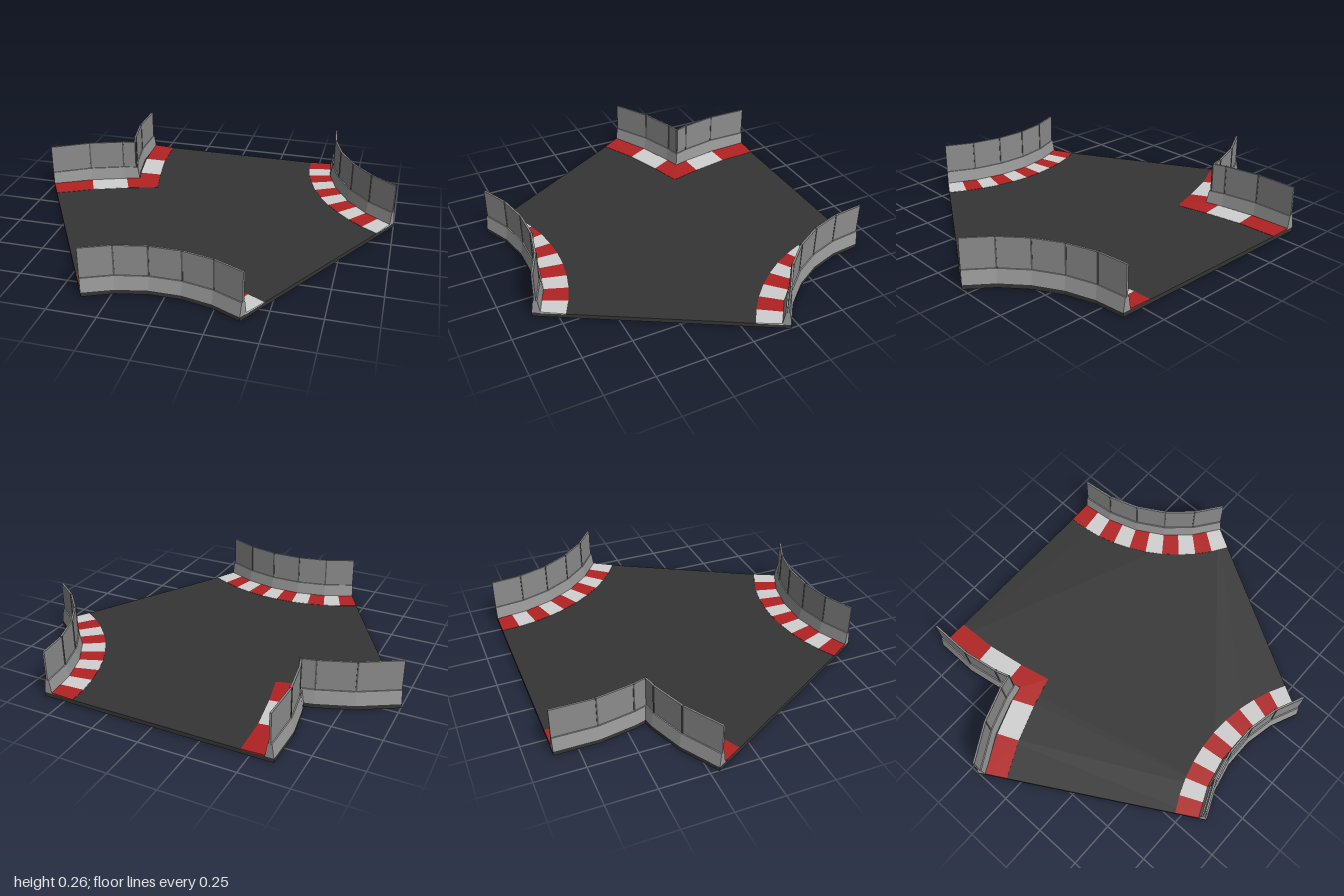
import * as THREE from 'three';

const mat = (name, color, opts = {}) => {
  const m = new THREE.MeshStandardMaterial({ color, ...opts });
  m.name = name;
  return m;
};

const VERTEX = 1.6;      // distance from the tile centre to each (cut off) triangle corner
const CENTRE_Z = -0.07;
const DECK = 0.022;      // road surface height
const RAD = Math.PI / 180;

// Flat-faced solid through matching convex rings, each counter-clockwise seen from the far end
function loft(rings) {
  const pos = [];
  const tri = (...pts) => pts.forEach(p => pos.push(...p));
  const n = rings[0].length;
  for (let i = 0; i + 1 < rings.length; i++) {
    for (let j = 0; j < n; j++) {
      const k = (j + 1) % n, a = rings[i], b = rings[i + 1];
      tri(a[j], a[k], b[k]);
      tri(a[j], b[k], b[j]);
    }
  }
  const first = rings[0], last = rings[rings.length - 1];
  for (let j = 1; j + 1 < n; j++) {
    tri(first[0], first[j + 1], first[j]);
    tri(last[0], last[j], last[j + 1]);
  }
  const g = new THREE.BufferGeometry();
  g.setAttribute('position', new THREE.Float32BufferAttribute(pos, 3));
  g.computeVertexNormals();
  return g;
}

// Mitred sideways directions towards the road; the ends follow the tile's edges
function mitres(path) {
  const normal = i => {
    const dx = path[i + 1][0] - path[i][0], dz = path[i + 1][1] - path[i][1];
    const l = Math.hypot(dx, dz);
    return [dz / l, -dx / l];
  };
  return path.map((p, i) => {
    const last = path.length - 1;
    let dir, n;
    if (i === 0 || i === last) {
      n = normal(i === 0 ? 0 : last - 1);
      dir = [i === 0 ? -0.5 : 0.5, -Math.sqrt(3) / 2];
    } else {
      n = normal(i);
      const m = normal(i - 1);
      const l = Math.hypot(n[0] + m[0], n[1] + m[1]);
      dir = [(n[0] + m[0]) / l, (n[1] + m[1]) / l];
    }
    const k = 1 / (dir[0] * n[0] + dir[1] * n[1]);
    return [dir[0] * k, dir[1] * k];
  });
}

const sweep = (path, profile) => {
  const m = mitres(path);
  return loft(path.map((p, i) => profile.map(([s, y]) => [p[0] + m[i][0] * s, y, p[1] + m[i][1] * s])));
};

const arc = (r, steps) => Array.from({ length: steps + 1 }, (_, i) => {
  const a = (-30 + 60 * i / steps) * RAD;
  return [r * Math.sin(a), VERTEX - r * Math.cos(a)];
});

// Half a path from the middle outwards, mirrored into a whole one
const mirrored = half => [...half.slice(1).reverse().map(([x, z]) => [-x, z]), ...half];

export function createModel() {
  const model = new THREE.Group();
  model.name = 'trackJunction';

  const asphalt = mat('asphalt', 0x353535);
  const red = mat('kerbRed', 0xb22222);
  const white = mat('kerbWhite', 0xd0d0d0);
  const concrete = mat('concrete', 0x999999);
  const panel = mat('fencePanel', 0x8c8c8c);
  const steel = mat('fencePost', 0x5c5c5c);

  // Each corner: barrier line, kerb edges and stripe order, seen with the corner towards +z
  const round = { wall: arc(0.79, 5), outer: arc(0.805, 10), inner: arc(0.935, 10) };
  const corners = [
    { name: 'front', angle: 0, ...round, stripes: 'RWRWRWRWRW' },
    { name: 'left', angle: 120, ...round, stripes: 'WRWRWRWRWR' },
    {
      name: 'right', angle: 240, stripes: 'RWRRWR',
      wall: mirrored([[0, 0.625], [0.05, 0.68], [0.2, 0.805], [0.395, 0.916]]),
      outer: mirrored([[0, 0.592], [0.056, 0.648], [0.215, 0.778], [0.405, 0.8985]]),
      inner: mirrored([[0, 0.432], [0.127, 0.55], [0.285, 0.68], [0.465, 0.795]]),
    },
  ];

  const outline = [];
  for (const c of corners) {
    const group = new THREE.Group();
    group.name = c.name + 'Corner';
    group.position.z = CENTRE_Z;
    group.rotation.y = c.angle * RAD;
    model.add(group);
    const add = (name, geo, material) => {
      const mesh = new THREE.Mesh(geo, material);
      mesh.name = name;
      group.add(mesh);
      return mesh;
    };

    // Tapered concrete foot and thin fence wall
    add('barrierBase', sweep(c.wall, [[-0.022, DECK], [0.022, DECK], [0.011, 0.095], [-0.011, 0.095]]), concrete);
    add('fenceWall', sweep(c.wall, [[-0.005, 0.09], [0.005, 0.09], [0.005, 0.255], [-0.005, 0.255]]), panel);

    // Posts at the bends of the fence
    const m = mitres(c.wall);
    c.wall.forEach(([x, z], i) => {
      if (i === 0 || i === c.wall.length - 1) return;
      const post = add('fencePost', new THREE.BoxGeometry(0.008, 0.164, 0.015), steel);
      post.position.set(x, 0.174, z);
      post.rotation.y = Math.atan2(m[i][0], m[i][1]);
    });

    // Kerb stripes rising gently towards the barrier
    [...c.stripes].forEach((s, i) => {
      const ring = k => {
        const [ox, oz] = c.outer[k], [ix, iz] = c.inner[k];
        return [[ox, 0.02, oz], [ix, 0.02, iz], [ix, 0.0235, iz], [ox, 0.028, oz]];
      };
      add('kerbStripe', loft([ring(i), ring(i + 1)]), s === 'R' ? red : white);
    });

    // Outer foot of the barrier bounds the road slab
    const cos = Math.cos(c.angle * RAD), sin = Math.sin(c.angle * RAD);
    c.wall.forEach(([x, z], i) => {
      const px = x - m[i][0] * 0.022, pz = z - m[i][1] * 0.022;
      outline.push(new THREE.Vector2(px * cos + pz * sin, px * sin - pz * cos - CENTRE_Z));
    });
  }

  // Road slab
  const slabGeo = new THREE.ExtrudeGeometry(new THREE.Shape(outline), { depth: DECK, bevelEnabled: false });
  slabGeo.rotateX(-Math.PI / 2);
  const slab = new THREE.Mesh(slabGeo, asphalt);
  slab.name = 'roadSlab';
  model.add(slab);

  return model;
}
